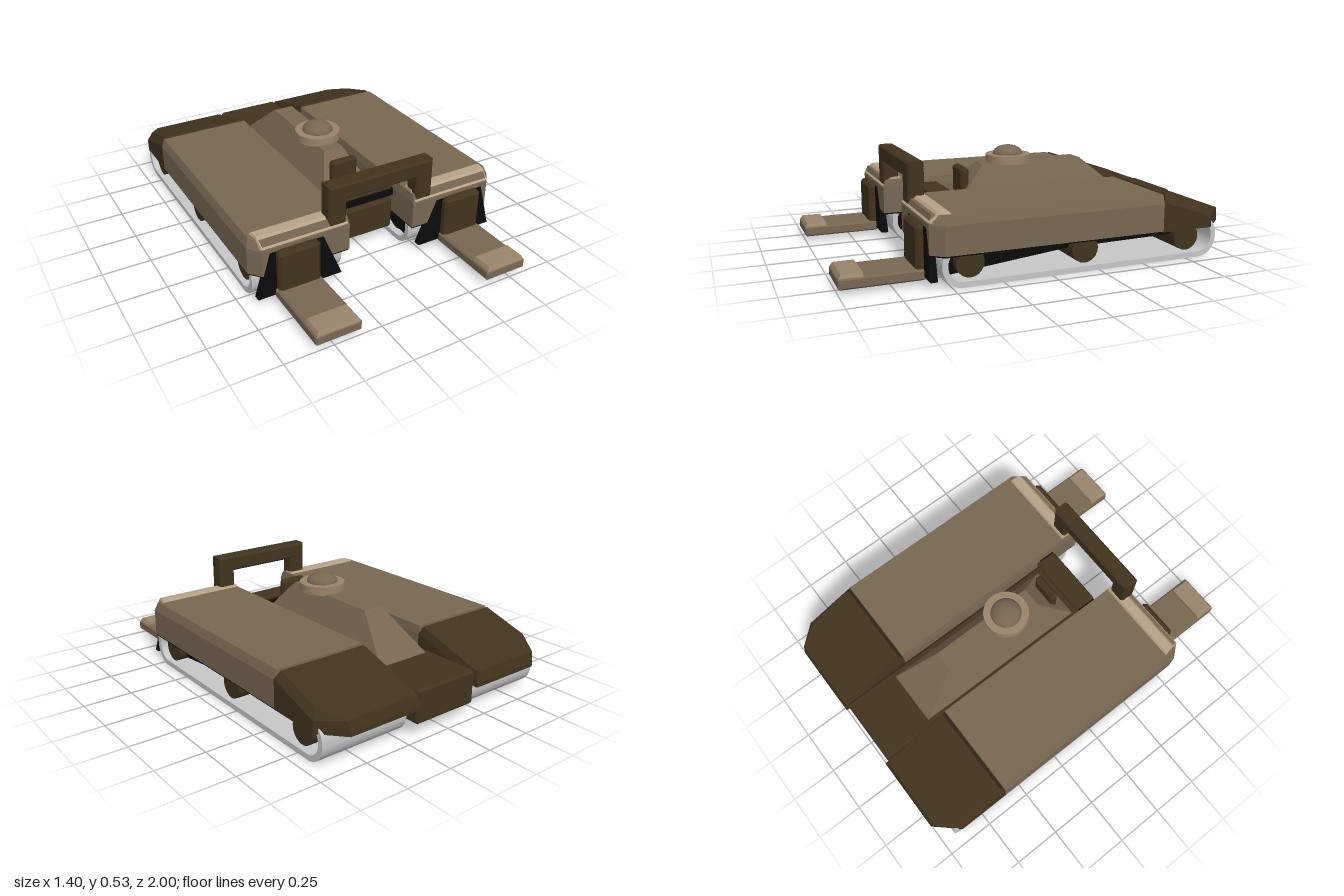
import * as THREE from 'three';
import { ConvexGeometry } from 'three/addons/geometries/ConvexGeometry.js';

const mat = (name, color) => {
  const m = new THREE.MeshStandardMaterial({ color });
  m.name = name;
  return m;
};

export function createModel() {
  const tan = mat('armourTan', 0x776752);
  const lightTan = mat('lightTan', 0x98846b);
  const paleTan = mat('paleTan', 0xb5a288);
  const dark = mat('darkBrown', 0x41331f);
  const black = mat('black', 0x0a0a0a);
  const grey = mat('trackGrey', 0xc6c6c6);

  const root = new THREE.Group();
  root.name = 'vehicle';

  const add = (name, geometry, material, parent = root) => {
    const m = new THREE.Mesh(geometry, material);
    m.name = name;
    parent.add(m);
    return m;
  };
  // convex solid from corner points, with x multiplied by s for mirroring
  const hull = (pts, s = 1) =>
    new ConvexGeometry(pts.map(([x, y, z]) => new THREE.Vector3(x * s, y, z)));
  // a z/y profile swept between two x positions
  const sweep = (profile, x0, x1, s = 1) =>
    hull(profile.flatMap(([z, y]) => [[x0, y, z], [x1, y, z]]), s);
  // box given by its limits, with all edges chamfered by c
  const block = (x0, x1, y0, y1, z0, z1, c, s = 1) => {
    const pts = [];
    for (const [x, i] of [[x0, 1], [x1, -1]])
      for (const [y, j] of [[y0, 1], [y1, -1]])
        for (const [z, k] of [[z0, 1], [z1, -1]])
          pts.push([x, y + j * c, z + k * c], [x + i * c, y, z + k * c], [x + i * c, y + j * c, z]);
    return hull(pts, s);
  };

  // Central hull, front plate and rear deck
  add('centreHull', block(-0.185, 0.185, 0.065, 0.24, -0.98, 0.42, 0.012), dark);
  add('frontCrossbar', sweep([[0.33, 0.24], [0.42, 0.26], [0.42, 0.3], [0.33, 0.3]], -0.184, 0.184), black);
  add('frontDeckPlate', block(-0.175, 0.175, 0.295, 0.32, 0.3, 0.42, 0.008), dark);

  // Tapered spine with sight block
  const spine = [];
  for (const s of [-1, 1])
    spine.push([0.155 * s, 0.23, -0.7], [0.155 * s, 0.23, 0.3], [0.055 * s, 0.44, -0.46], [0.055 * s, 0.44, 0.12]);
  add('spine', hull(spine), tan);
  add('sightBlock', block(-0.075, 0.075, 0.23, 0.43, 0.2, 0.245, 0.012), dark);

  // Hatch ring and dome
  const ring = add('hatchRing', new THREE.CylinderGeometry(0.12, 0.12, 0.045, 32), lightTan);
  ring.position.set(0, 0.458, -0.05);
  const dome = add('hatchDome', new THREE.SphereGeometry(0.082, 28, 8, 0, Math.PI * 2, 0, Math.PI / 2), tan);
  dome.scale.y = 0.6;
  dome.position.set(0, 0.479, -0.05);

  // Front handle: a bevelled arch
  const arch = new THREE.Shape();
  [[-0.285, 0.32], [-0.285, 0.515], [0.285, 0.515], [0.285, 0.32], [0.21, 0.32], [0.21, 0.45], [-0.21, 0.45], [-0.21, 0.32]]
    .forEach(([x, y], i) => (i ? arch.lineTo(x, y) : arch.moveTo(x, y)));
  arch.closePath();
  const archGeo = new THREE.ExtrudeGeometry(arch, {
    depth: 0.066, bevelEnabled: true, bevelSize: 0.01, bevelThickness: 0.01, bevelSegments: 1,
  });
  archGeo.translate(0, 0, 0.52);
  add('frontHandle', archGeo, dark);

  // Rounded outline used for the track loop
  const roundRect = (path, a0, a1, b0, b1, r) => {
    path.moveTo(a0 + r, b0);
    path.lineTo(a1 - r, b0);
    path.absarc(a1 - r, b0 + r, r, -Math.PI / 2, 0, false);
    path.lineTo(a1, b1 - r);
    path.absarc(a1 - r, b1 - r, r, 0, Math.PI / 2, false);
    path.lineTo(a0 + r, b1);
    path.absarc(a0 + r, b1 - r, r, Math.PI / 2, Math.PI, false);
    path.lineTo(a0, b0 + r);
    path.absarc(a0 + r, b0 + r, r, Math.PI, Math.PI * 1.5, false);
    return path;
  };

  for (const s of [1, -1]) {
    const side = new THREE.Group();
    side.name = s > 0 ? 'leftSide' : 'rightSide';
    root.add(side);

    // Armoured pod with cut front corner and bevelled shoulders
    const plan = (d) => [[0.185 + d * 0.4, -0.6], [0.7 - d, -0.6], [0.7 - d, 0.54 - d], [0.65 - d, 0.6 - d], [0.185 + d * 0.4, 0.6 - d]];
    const level = (y, d) => plan(d).map(([x, z]) => [x, y, z]);
    add('sidePod', hull([...level(0.16, 0), ...level(0.3, 0), ...level(0.345, 0.016)], s), tan, side);
    add('podFrontLip', hull([
      [0.195, 0.34, 0.495], [0.67, 0.34, 0.495], [0.195, 0.356, 0.505], [0.66, 0.356, 0.505],
      [0.195, 0.356, 0.555], [0.655, 0.356, 0.555], [0.195, 0.31, 0.602], [0.648, 0.31, 0.602],
      [0.195, 0.3, 0.56], [0.67, 0.3, 0.56],
    ], s), paleTan, side);
    add('podUnderside', hull([[0.187, -0.6], [0.697, -0.6], [0.697, 0.54], [0.648, 0.597], [0.187, 0.597]]
      .flatMap(([x, z]) => [[x, 0.153, z], [x, 0.161, z]]), s), black, side);

    // Sloping rear fender
    const slope = (z) => 0.345 + (z + 0.62) * 0.32;
    const fender = [];
    for (const [x, z] of [[0.185, -0.6], [0.7, -0.6], [0.7, -0.88], [0.59, -1], [0.185, -1]]) {
      fender.push([x, 0.155, z], [x, slope(z) - 0.045, z]);
      const tx = x > 0.6 ? x - 0.025 : x + 0.012;
      const tz = z > -0.7 ? -0.62 : z + 0.015;
      fender.push([tx, slope(tz), tz]);
    }
    add('rearFender', hull(fender, s), dark, side);

    // Running gear: inner frame, wheels and track loop
    add('innerFrameFront', sweep([[0.53, 0.045], [-0.1, 0.11], [-0.1, 0.165], [0.53, 0.165]], 0.22, 0.62, s), black, side);
    add('innerFrameRear', sweep([[-0.1, 0.11], [-0.85, 0.12], [-0.85, 0.165], [-0.1, 0.165]], 0.22, 0.62, s), black, side);
    for (const z of [0.41, -0.18, -0.76]) {
      const wheel = new THREE.CylinderGeometry(0.07, 0.07, 0.44, 20);
      wheel.rotateZ(Math.PI / 2);
      wheel.translate(0.445 * s, 0.108, z);
      add('wheel', wheel, dark, side);
    }
    const loop = roundRect(new THREE.Shape(), -0.55, 0.925, 0, 0.215, 0.1);
    loop.holes.push(roundRect(new THREE.Path(), -0.522, 0.897, 0.028, 0.187, 0.075));
    const track = new THREE.ExtrudeGeometry(loop, { depth: 0.485, bevelEnabled: false, curveSegments: 10 });
    track.rotateY(Math.PI / 2);
    track.translate(s > 0 ? 0.2 : -0.685, 0, 0);
    add('track', track, grey, side);

    // Fork carriage: flared black mounts, upright and plate
    const mount = (a, b, c, d) => hull([[a, 0.28], [b, 0.28], [c, 0.04], [d, 0.04]]
      .flatMap(([x, y]) => [[x, y, 0.57], [x, y, 0.606]]), s);
    add('innerForkMount', mount(0.33, 0.37, 0.37, 0.23), black, side);
    add('outerForkMount', mount(0.58, 0.61, 0.68, 0.58), black, side);
    add('forkUpright', block(0.362, 0.582, 0.03, 0.285, 0.58, 0.642, 0.014, s), dark, side);
    add('forkPlate', block(0.355, 0.59, 0.025, 0.078, 0.6, 1, 0.008, s), tan, side);
    add('forkTip', hull([
      [0.358, 0.07, 0.885], [0.587, 0.07, 0.885], [0.358, 0.07, 0.998], [0.587, 0.07, 0.998],
      [0.372, 0.095, 0.885], [0.573, 0.095, 0.885], [0.372, 0.095, 0.985], [0.573, 0.095, 0.985],
    ], s), lightTan, side);
  }
  return root;
}
